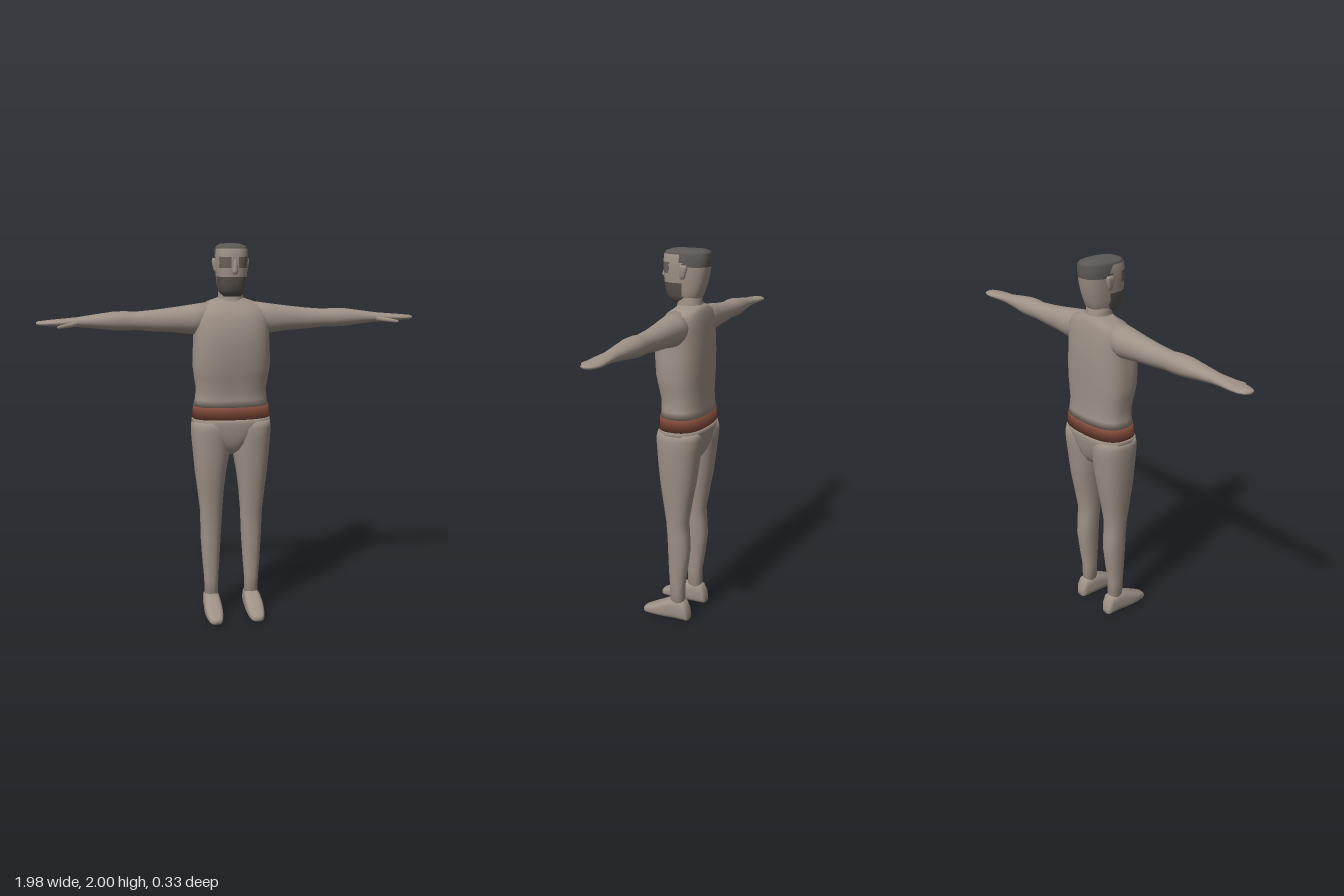
import * as THREE from 'three';

const mat = (name, color) => Object.assign(new THREE.MeshStandardMaterial({ color }), { name });

// Loft of rounded cross-sections, rows ascending along the axis.
// axis y: [y, x0, x1, z0, z1]   axis x: [x, z0, z1, y0, y1]   axis z: [z, y0, y1, x0, x1]
const ORDER = { x: [0, 2, 1], y: [1, 0, 2], z: [2, 1, 0] };

function loft(name, rows, material, { axis = 'y', n = 2.3, seg = 40, side = 1, pick = null } = {}) {
  const [ia, ic, is] = ORDER[axis];
  const pos = [], index = [];
  const put = (t, c, s) => {
    const p = [];
    p[ia] = t; p[ic] = c; p[is] = s;
    pos.push(p[0] * side, p[1], p[2]);
  };
  const power = (v) => Math.sign(v) * Math.pow(Math.abs(v), 2 / n);
  for (const [t, c0, c1, s0, s1] of rows) {
    for (let j = 0; j < seg; j++) {
      const a = ((j + 0.5) / seg) * Math.PI * 2;
      put(t, (c0 + c1) / 2 + (c1 - c0) / 2 * power(Math.cos(a)), (s0 + s1) / 2 + (s1 - s0) / 2 * power(Math.sin(a)));
    }
  }
  const tri = (a, b, c) => index.push(...(side > 0 ? [a, b, c] : [a, c, b]));
  for (let i = 0; i < rows.length - 1; i++) {
    for (let j = 0; j < seg; j++) {
      const a = i * seg + j, b = i * seg + (j + 1) % seg;
      tri(a, a + seg, b);
      tri(b, a + seg, b + seg);
    }
  }
  // end caps
  const last = rows.length - 1, foot = pos.length / 3;
  for (const r of [rows[0], rows[last]]) put(r[0], (r[1] + r[2]) / 2, (r[3] + r[4]) / 2);
  for (let j = 0; j < seg; j++) {
    const k = (j + 1) % seg;
    tri(foot, j, k);
    tri(foot + 1, last * seg + k, last * seg + j);
  }
  const geo = new THREE.BufferGeometry();
  geo.setAttribute('position', new THREE.Float32BufferAttribute(pos, 3));
  // sort faces into colour groups by their centre
  if (pick) {
    const bins = material.map(() => []);
    for (let i = 0; i < index.length; i += 3) {
      const f = index.slice(i, i + 3);
      const mid = [0, 1, 2].map((d) => (pos[f[0] * 3 + d] + pos[f[1] * 3 + d] + pos[f[2] * 3 + d]) / 3);
      bins[pick(...mid)].push(...f);
    }
    let start = 0;
    bins.forEach((bin, m) => { geo.addGroup(start, bin.length, m); start += bin.length; });
    geo.setIndex(bins.flat());
  } else geo.setIndex(index);
  geo.computeVertexNormals();
  const mesh = new THREE.Mesh(geo, material);
  mesh.name = name;
  return mesh;
}

// symmetric section: height, half width, back, front
const sym = (rows) => rows.map(([y, w, b, f]) => [y, -w, w, b, f]);

export function createModel() {
  const body = mat('body', 0x9e9186);
  const hair = mat('hair', 0x5c5855);
  const beard = mat('beard', 0x57504a);
  const eyes = mat('eyes', 0x6a5f57);
  const beltColor = mat('belt', 0x834b3a);
  const model = new THREE.Group();
  model.name = 'figure';

  // trunk
  model.add(loft('torso', sym([
    [1.165, 0.198, -0.162, 0.068], [1.2, 0.19, -0.157, 0.064], [1.25, 0.185, -0.155, 0.066],
    [1.32, 0.196, -0.156, 0.08], [1.38, 0.204, -0.158, 0.092], [1.48, 0.2, -0.16, 0.1],
    [1.56, 0.196, -0.157, 0.095], [1.62, 0.194, -0.152, 0.08], [1.66, 0.185, -0.147, 0.06],
    [1.69, 0.16, -0.14, 0.035], [1.71, 0.11, -0.133, 0.01], [1.725, 0.065, -0.12, 0],
  ]), body, { n: 2.6, seg: 48 }));
  model.add(loft('belt', sym([[1.1, 0.206, -0.166, 0.073], [1.165, 0.2, -0.163, 0.07]]), beltColor, { n: 2.6, seg: 48 }));
  model.add(loft('briefs', sym([
    [0.9, 0.012, -0.07, -0.005], [0.93, 0.05, -0.125, 0.04], [0.97, 0.095, -0.148, 0.062],
    [1.02, 0.15, -0.16, 0.072], [1.06, 0.198, -0.166, 0.075], [1.08, 0.21, -0.167, 0.075], [1.1, 0.206, -0.166, 0.073],
  ]), body, { n: 2.6, seg: 48 }));
  model.add(loft('neck', sym([
    [1.65, 0.07, -0.125, 0.06], [1.67, 0.073, -0.127, 0.05], [1.7, 0.07, -0.125, 0.014],
    [1.74, 0.063, -0.112, 0.008], [1.8, 0.062, -0.11, 0.02],
  ]), body));

  // head, coloured by region
  const region = (x, y, z) => {
    if (y > 1.975 || (y > 1.915 && z < -0.035)) return 1;
    if (y < 1.835 && z > -0.04) return 2;
    if (y > 1.88 && y < 1.935 && z > 0.03 && Math.abs(x) > 0.018) return 3;
    return 0;
  };
  const head = new THREE.Group();
  head.name = 'head';
  head.add(loft('skull', sym([
    [1.735, 0.045, -0.08, 0.035], [1.75, 0.06, -0.105, 0.055], [1.77, 0.067, -0.12, 0.069],
    [1.8, 0.072, -0.13, 0.075], [1.835, 0.076, -0.142, 0.08], [1.88, 0.08, -0.152, 0.083],
    [1.915, 0.081, -0.158, 0.085], [1.935, 0.081, -0.16, 0.085], [1.975, 0.079, -0.162, 0.08],
    [1.988, 0.07, -0.155, 0.07], [1.997, 0.05, -0.135, 0.045], [2, 0.025, -0.1, 0.015],
  ]), [body, hair, beard, eyes], { n: 2.6, seg: 64, pick: region }));
  head.add(loft('nose', sym([
    [1.848, 0.012, 0.06, 0.085], [1.866, 0.016, 0.06, 0.103], [1.925, 0.008, 0.06, 0.086],
  ]), body, { seg: 16 }));
  model.add(head);

  for (const side of [1, -1]) {
    const tag = side > 0 ? 'left' : 'right';
    const opt = { side };
    head.add(loft(tag + 'Ear', [
      [1.855, 0.07, 0.082, -0.055, -0.035], [1.87, 0.07, 0.09, -0.062, -0.032],
      [1.91, 0.07, 0.097, -0.075, -0.03], [1.925, 0.07, 0.093, -0.068, -0.036],
    ], body, { side, seg: 16, n: 3 }));

    // arm and flat hand
    model.add(loft(tag + 'Arm', [
      [0.1, -0.12, 0.04, 1.56, 1.708], [0.2, -0.116, 0.036, 1.54, 1.694], [0.3, -0.107, 0.022, 1.552, 1.68],
      [0.4, -0.1, 0.012, 1.558, 1.668], [0.5, -0.094, 0.005, 1.567, 1.66], [0.55, -0.098, 0.011, 1.565, 1.664],
      [0.61, -0.099, 0.014, 1.568, 1.662], [0.7, -0.089, 0.004, 1.579, 1.65], [0.79, -0.079, -0.004, 1.588, 1.637],
      [0.85, -0.085, 0.003, 1.592, 1.632], [0.91, -0.09, 0.005, 1.594, 1.627], [0.95, -0.087, 0, 1.596, 1.623],
      [0.98, -0.075, -0.012, 1.599, 1.62], [0.992, -0.055, -0.03, 1.604, 1.615],
    ], body, { axis: 'x', n: 2.1, side }));
    model.add(loft(tag + 'Thumb', [
      [0.77, -0.035, -0.01, 1.598, 1.622], [0.81, -0.015, 0.013, 1.592, 1.615],
      [0.85, 0.008, 0.03, 1.589, 1.609], [0.88, 0.028, 0.043, 1.588, 1.603], [0.888, 0.036, 0.043, 1.591, 1.599],
    ], body, { axis: 'x', side, seg: 16 }));

    // leg and shoe
    model.add(loft(tag + 'Leg', [
      [0.1, 0.075, 0.147, -0.077, 0.004], [0.2, 0.073, 0.151, -0.077, 0.006], [0.3, 0.066, 0.159, -0.092, 0.011],
      [0.42, 0.059, 0.166, -0.107, 0.015], [0.5, 0.055, 0.168, -0.102, 0.018], [0.58, 0.051, 0.17, -0.096, 0.024],
      [0.7, 0.042, 0.183, -0.117, 0.04], [0.8, 0.03, 0.195, -0.136, 0.054], [0.9, 0.012, 0.204, -0.148, 0.064],
      [1, 0.003, 0.212, -0.16, 0.071], [1.05, 0.003, 0.213, -0.164, 0.074], [1.085, 0.01, 0.208, -0.155, 0.065],
    ], body, opt));
    model.add(loft(tag + 'Foot', [
      [-0.107, 0.005, 0.045, 0.09, 0.135], [-0.098, 0, 0.075, 0.078, 0.148], [-0.08, 0, 0.112, 0.072, 0.152],
      [-0.03, 0, 0.122, 0.068, 0.155], [0.005, 0, 0.115, 0.066, 0.16], [0.06, 0, 0.086, 0.065, 0.163],
      [0.11, 0, 0.06, 0.069, 0.158], [0.145, 0, 0.042, 0.077, 0.15], [0.16, 0.002, 0.034, 0.085, 0.142],
      [0.166, 0.008, 0.026, 0.098, 0.13],
    ], body, { axis: 'z', n: 3, side }));
  }
  return model;
}
